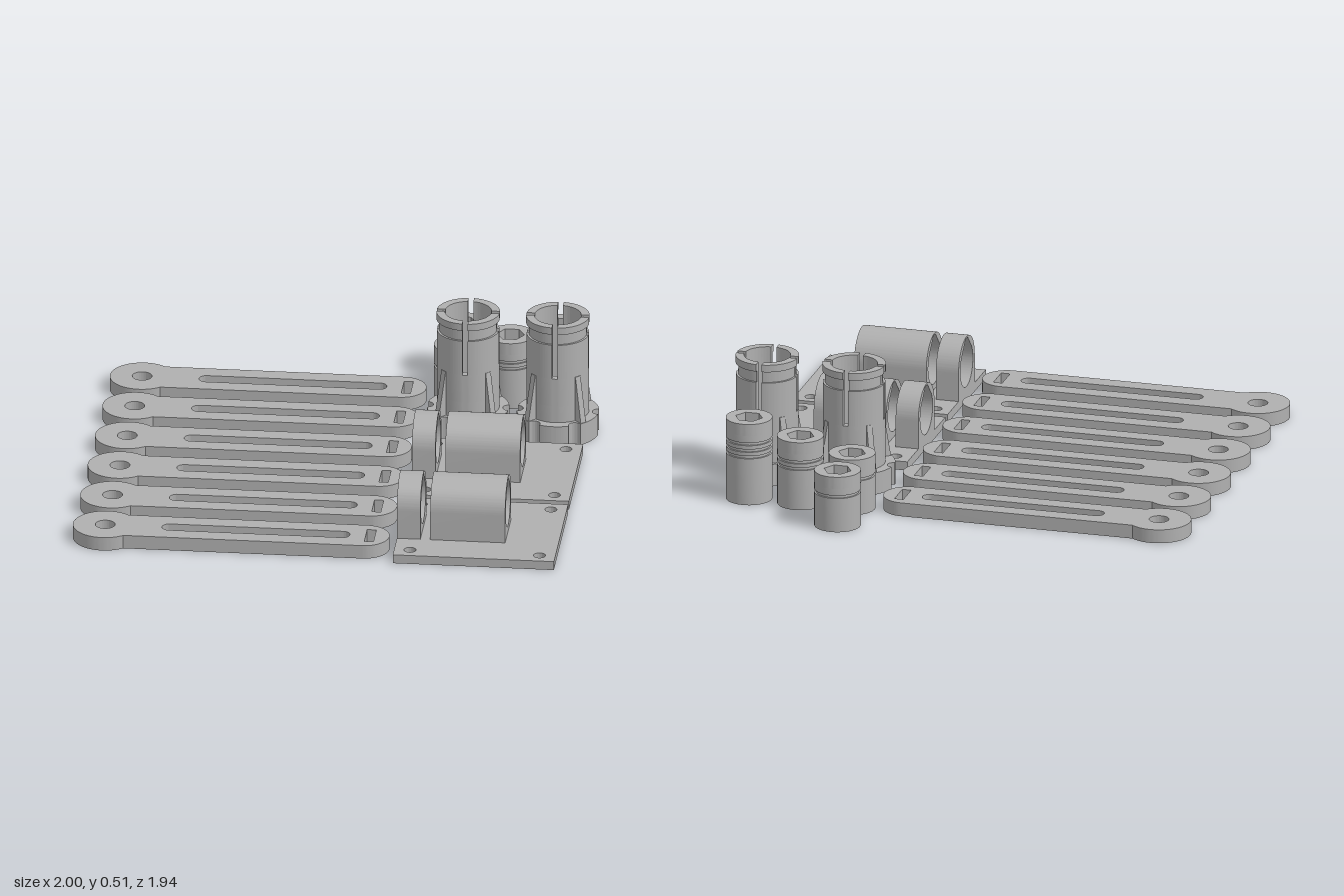
import * as THREE from 'three';
import { toCreasedNormals } from 'three/addons/utils/BufferGeometryUtils.js';

const TAU = Math.PI * 2;
const grey = new THREE.MeshStandardMaterial({ color: 0xb0b0b0 });
grey.name = 'plain grey';

function mesh(parent, name, geometry) {
  const m = new THREE.Mesh(toCreasedNormals(geometry, 0.5), grey);
  m.name = name;
  parent.add(m);
  return m;
}

function part(parent, name, x, z) {
  const g = new THREE.Group();
  g.name = name;
  g.position.set(x, 0, z);
  parent.add(g);
  return g;
}

const extrude = (shape, depth) =>
  new THREE.ExtrudeGeometry(shape, { depth, bevelEnabled: false, curveSegments: 40 });

// Flat outline raised from y0 to y1
const slab = (shape, y0, y1) =>
  extrude(shape, y1 - y0).rotateX(-Math.PI / 2).translate(0, y0, 0);

// Outlines
const disc = (r, x = 0, y = 0, Type = THREE.Shape) => new Type().absarc(x, y, r, 0, TAU, false);
const hole = (r, x = 0, y = 0) => disc(r, x, y, THREE.Path);
const polygon = (points) => new THREE.Path(points.map(([x, y]) => new THREE.Vector2(x, y)));
const hexagon = (r) => polygon(Array.from({ length: 6 }, (_, i) =>
  [r * Math.cos(i * TAU / 6), r * Math.sin(i * TAU / 6)]));
function cut(shape, ...holes) {
  shape.holes.push(...holes);
  return shape;
}

// Slotted arm with a round eye at one end
function armShape() {
  const a = Math.asin(0.1 / 0.13);
  const s = new THREE.Shape();
  s.absarc(-0.872, 0, 0.13, a, TAU - a, false);
  s.absarc(0.178, 0, 0.1, -Math.PI / 2, Math.PI / 2, false);
  s.closePath();
  const slot = new THREE.Path();
  slot.absarc(-0.612, 0, 0.03, Math.PI / 2, Math.PI * 1.5, false);
  slot.absarc(0.088, 0, 0.03, -Math.PI / 2, Math.PI / 2, false);
  slot.closePath();
  const strapSlot = polygon([[0.182, -0.057], [0.219, -0.057], [0.219, 0.057], [0.182, 0.057]]);
  return cut(s, hole(0.04, -0.872, 0), slot, strapSlot);
}

// Arched sleeve section with a teardrop bore
function sleeveShape() {
  const s = new THREE.Shape();
  s.moveTo(-0.118, 0.03);
  s.lineTo(0.118, 0.03);
  s.absarc(0, 0.157, 0.118, 0, Math.PI, false);
  s.closePath();
  const bore = new THREE.Path();
  bore.absarc(0, 0.153, 0.091, Math.PI * 0.75, Math.PI * 2.25, false);
  bore.lineTo(0.014, 0.268);
  bore.lineTo(-0.014, 0.268);
  bore.closePath();
  return cut(s, bore);
}

function addMount(root, z) {
  const g = part(root, 'mountingPlate', 0.631, z);
  const base = new THREE.Shape([[-1, -1], [1, -1], [1, 1], [-1, 1]]
    .map(([x, y]) => new THREE.Vector2(x * 0.326, y * 0.279)));
  for (const x of [-0.262, 0.262]) for (const y of [-0.224, 0.224]) base.holes.push(hole(0.024, x, y));
  mesh(g, 'plate', slab(base, 0, 0.037));
  for (const [x0, x1, name] of [[0.305, 0.4, 'shortSleeve'], [0.44, 0.743, 'longSleeve']]) {
    mesh(g, name, extrude(sleeveShape(), x1 - x0).rotateY(Math.PI / 2).translate(x0 - 0.631, 0, 0));
  }
}

// Foot with six round notches
function footShape() {
  const R = 0.166, n = 0.026, d = 2 * Math.asin(n / (2 * R));
  const s = new THREE.Shape();
  for (let i = 0; i < 6; i++) {
    const a = i * TAU / 6;
    s.absarc(R * Math.cos(a), R * Math.sin(a), n, a - Math.PI / 2 - d / 2, a + Math.PI / 2 + d / 2 - TAU, true);
    s.absarc(0, 0, R, a + d, a + TAU / 6 - d, false);
  }
  s.closePath();
  return s;
}

// Quarter of a ring, leaving a slot on each side
function fingerShape(R) {
  const r = 0.094, h = 0.011, a = Math.asin(h / R), b = Math.asin(h / r);
  const s = new THREE.Shape();
  s.absarc(0, 0, R, a, Math.PI / 2 - a, false);
  s.absarc(0, 0, r, Math.PI / 2 - b, b, true);
  s.closePath();
  return s;
}

function addSocket(root, x) {
  const g = part(root, 'slottedSocket', x, -0.382);
  mesh(g, 'footWithHexRecess', slab(cut(footShape(), hexagon(0.075)), 0, 0.08));
  mesh(g, 'footTop', slab(footShape(), 0.08, 0.093));
  mesh(g, 'socketFloor', slab(disc(0.126), 0.093, 0.165));
  mesh(g, 'socketWall', slab(cut(disc(0.126), hole(0.094)), 0.165, 0.285));
  const rib = new THREE.Shape([[0.11, 0.09], [0.163, 0.09], [0.128, 0.285], [0.11, 0.285]]
    .map(([u, v]) => new THREE.Vector2(u, v)));
  for (let i = 0; i < 4; i++) {
    const turn = i * Math.PI / 2;
    // Springy finger with a groove below its lip
    for (const [R, y0, y1] of [[0.126, 0.285, 0.435], [0.117, 0.435, 0.482], [0.128, 0.482, 0.512]]) {
      mesh(g, 'finger', slab(fingerShape(R), y0, y1)).rotation.y = turn;
    }
    mesh(g, 'rib', extrude(rib, 0.026).translate(0, 0, -0.013)).rotation.y = turn + Math.PI / 4;
  }
}

// Round spacer with marking grooves, hex pocket on top and counterbore below
function addSpacer(root, x, z, height, grooves) {
  const g = part(root, 'spacer', x, z);
  const R = 0.094, top = height - 0.05;
  const profile = [[0.031, 0.04], [0.065, 0.04], [0.065, 0], [R, 0]];
  for (let i = grooves - 1; i >= 0; i--) {
    const y = height - 0.085 - i * 0.028;
    profile.push([R, y - 0.006], [R - 0.007, y - 0.006], [R - 0.007, y + 0.006], [R, y + 0.006]);
  }
  profile.push([R, top], [0.031, top], [0.031, 0.04]);
  mesh(g, 'spacerBody', new THREE.LatheGeometry(profile.map(([u, v]) => new THREE.Vector2(u, v)), 40));
  mesh(g, 'hexPocket', slab(cut(disc(R), hexagon(0.056)), top, height));
}

export function createModel() {
  const root = new THREE.Group();
  root.name = 'partsSet';

  for (let i = 0; i < 6; i++) {
    mesh(part(root, 'slottedArm', 0, -0.615 + i * 0.2894), 'arm', slab(armShape(), 0, 0.057));
  }
  for (const z of [0.096, 0.685]) addMount(root, z);
  for (const x of [0.471, 0.834]) addSocket(root, x);

  addSpacer(root, 0.398, -0.88, 0.235, 1);
  addSpacer(root, 0.398, -0.667, 0.235, 1);
  addSpacer(root, 0.614, -0.667, 0.288, 2);
  addSpacer(root, 0.829, -0.667, 0.345, 3);
  return root;
}
